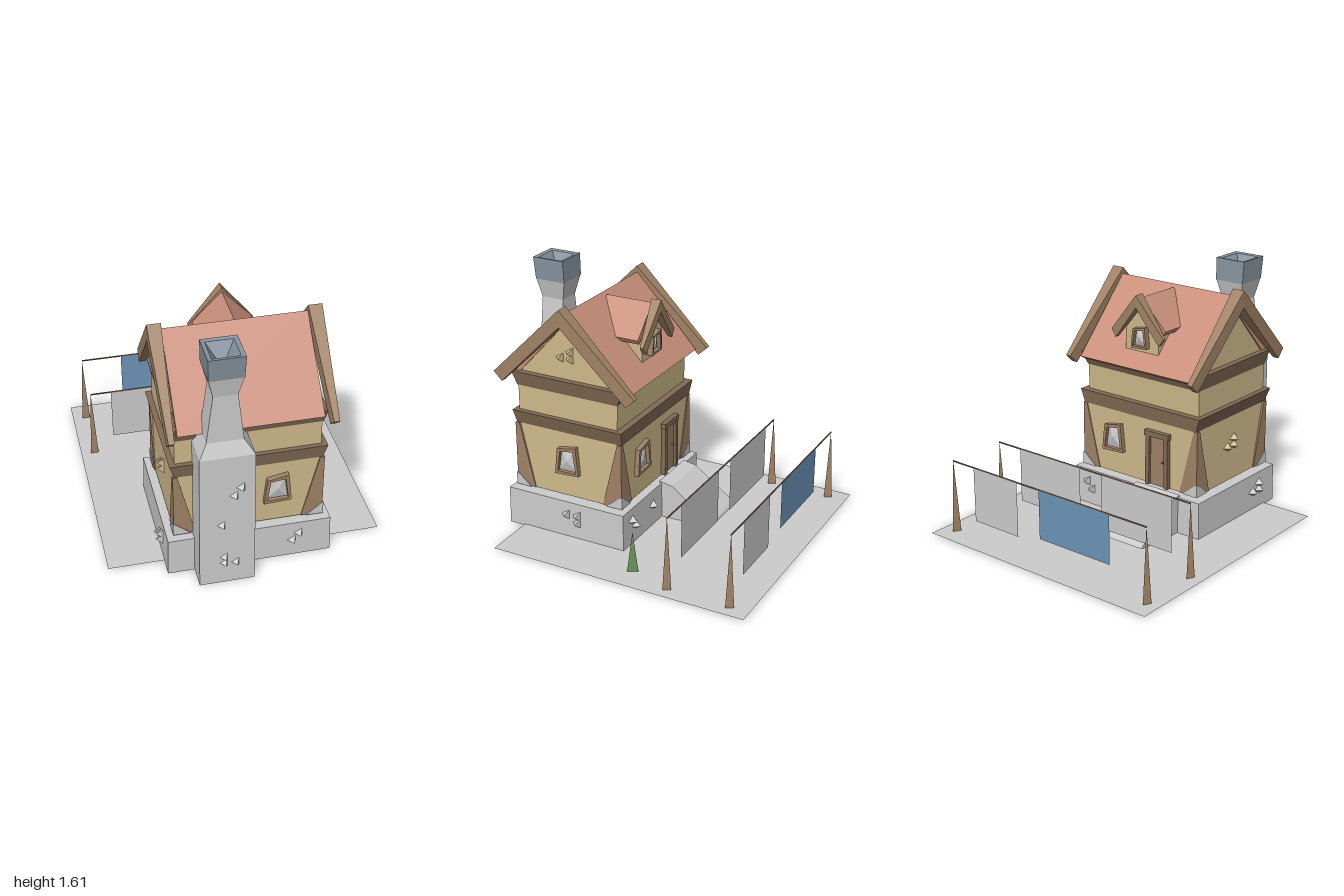
import * as THREE from 'three';

const GREY = 0xcccccc, WALL = 0xcdb98a, WOOD = 0xa08265, DARK = 0x836b55, ROOF = 0xc98f7b;
const CAP = 0x87939e, GREEN = 0x67905a, BLUE = 0x6c94b8;
const mat = (color) => new THREE.MeshStandardMaterial({ color, flatShading: true, side: THREE.DoubleSide });

function add(parent, name, geometry, color, x = 0, y = 0, z = 0) {
  const mesh = new THREE.Mesh(geometry, mat(color));
  mesh.name = name;
  mesh.position.set(x, y, z);
  parent.add(mesh);
  return mesh;
}

// Skin over rectangular sections, each given as [y, x0, x1, z0, z1]
function loft(rings) {
  const pos = [], idx = [];
  for (const [y, x0, x1, z0, z1] of rings) pos.push(x0, y, z1, x1, y, z1, x1, y, z0, x0, y, z0);
  for (let r = 0; r < rings.length - 1; r++)
    for (let i = 0; i < 4; i++) {
      const a = r * 4 + i, b = r * 4 + (i + 1) % 4;
      idx.push(a, b, b + 4, a, b + 4, a + 4);
    }
  const t = (rings.length - 1) * 4;
  idx.push(0, 2, 1, 0, 3, 2, t, t + 1, t + 2, t, t + 2, t + 3);
  const g = new THREE.BufferGeometry();
  g.setAttribute('position', new THREE.Float32BufferAttribute(pos, 3));
  g.setIndex(idx);
  g.computeVertexNormals();
  return g;
}

const shapeOf = (pts) => new THREE.Shape(pts.map(([x, y]) => new THREE.Vector2(x, y)));
const extrude = (pts, depth) => new THREE.ExtrudeGeometry(shapeOf(pts), { depth, bevelEnabled: false });
// Profile drawn in (z, y), running from x0 to x1
const extrudeX = (pts, x0, x1) => extrude(pts, x1 - x0).rotateY(-Math.PI / 2).translate(x1, 0, 0);
// Roof-shaped band: ridge at c, half width w
const chevron = (c, w, ridge, eave, inW, inRidge, inEave) =>
  [[c - w, eave], [c - inW, inEave], [c, inRidge], [c + inW, inEave], [c + w, eave], [c, ridge]];

function bend(g, rule) {
  const p = g.attributes.position, v = new THREE.Vector3();
  for (let i = 0; i < p.count; i++) {
    rule(v.fromBufferAttribute(p, i));
    p.setXYZ(i, v.x, v.y, v.z);
  }
  g.computeVertexNormals();
  return g;
}

// Place a wall fitting built facing +z
function fitting(parent, name, x, y, z, turn) {
  const g = new THREE.Group();
  g.name = name;
  g.position.set(x, y, z);
  g.rotation.y = turn;
  parent.add(g);
  return g;
}

// Crooked window: tapered frame with a faceted pane
function addWindow(parent, name, x, y, z, turn, s = 1) {
  const g = fitting(parent, name, x, y, z, turn);
  const outer = shapeOf([[-0.085, -0.1], [0.085, -0.09], [0.066, 0.1], [-0.066, 0.075]]);
  outer.holes.push(new THREE.Path([[-0.065, -0.078], [-0.045, 0.06], [0.045, 0.072], [0.065, -0.075]]
    .map(([a, b]) => new THREE.Vector2(a, b))));
  add(g, 'windowFrame', new THREE.ExtrudeGeometry(outer, { depth: 0.045, bevelEnabled: false }), WOOD, 0, 0, -0.015);
  const pane = new THREE.ConeGeometry(Math.SQRT1_2, 1, 4).rotateY(Math.PI / 4).rotateX(Math.PI / 2)
    .translate(0, 0, 0.5).scale(0.132, 0.15, 0.02);
  bend(pane, (v) => { v.x *= 1 - 1.8 * (v.y + 0.075); });
  add(g, 'windowPane', pane, GREY, 0, -0.003, 0.004);
  g.scale.set(s, s, 1);
}

// Three-sided stones standing proud of a wall; spots are local [x, y]
function addStones(parent, name, x, z, turn, spots, color) {
  const g = fitting(parent, name, x, 0, z, turn);
  for (const [a, b] of spots) {
    const stone = new THREE.ConeGeometry(0.04, 0.05, 3).rotateX(Math.PI / 2).rotateZ(-Math.PI / 2);
    add(g, 'stone', stone, color, a, b, 0.018);
  }
}

export function createModel() {
  const model = new THREE.Group();
  model.name = 'cottage';

  // Ground, foundation and ramp
  add(model, 'ground', new THREE.PlaneGeometry(1.72, 1.71).rotateX(-Math.PI / 2), GREY, 0, 0.01, -0.145);
  add(model, 'foundation', loft([[0, -0.51, 0.51, -0.02, 0.82], [0.25, -0.505, 0.505, -0.015, 0.82]]), GREY);
  add(model, 'ramp', extrudeX([[0, 0], [-0.38, 0.03], [-0.37, 0.045], [-0.09, 0.245], [0, 0.262]], -0.345, 0), GREY);

  // Walls and timber bands
  add(model, 'lowerWall', loft([[0.27, -0.455, 0.455, 0.025, 0.775], [0.71, -0.445, 0.445, 0.025, 0.77]]), WALL);
  add(model, 'lowerBand', loft([[0.7, -0.45, 0.45, 0.02, 0.775], [0.79, -0.48, 0.475, 0.01, 0.79]]), DARK);
  add(model, 'upperWall', loft([[0.78, -0.445, 0.44, 0.055, 0.76], [0.97, -0.445, 0.44, 0.05, 0.76]]), WALL);
  add(model, 'upperBand', loft([[0.955, -0.445, 0.445, 0.05, 0.765], [1.05, -0.465, 0.465, 0.005, 0.795]]), DARK);
  add(model, 'gable', extrudeX([[0.03, 1.04], [0.77, 1.04], [0.4, 1.45]], -0.425, 0.425), WALL);

  // Tapered corner posts with foot stones
  for (const sx of [-1, 1]) for (const front of [false, true]) {
    const corner = (name, y0, y1, w0, w1, out, color) => {
      const ring = (y, w) => {
        const xo = sx * (0.458 + out), xi = sx * (0.458 - w);
        const z = front ? [0.778 + out - w - out, 0.778 + out] : [0.022 - out, 0.022 + w];
        return [y, Math.min(xo, xi), Math.max(xo, xi), ...z];
      };
      add(model, name, loft([ring(y0, w0), ring(y1, w1)]), color);
    };
    corner('cornerPost', 0.27, 0.7, 0.13, 0.025, 0.003, WOOD);
    corner('cornerStone', 0.268, 0.35, 0.1, 0.003, 0.008, GREY);
  }

  // Main roof with flared barge boards
  add(model, 'roof', extrudeX(chevron(0.395, 0.43, 1.49, 1.03, 0.39, 1.43, 1.005), -0.435, 0.435), ROOF);
  for (const s of [-1, 1]) {
    const board = bend(extrudeX(chevron(0.4, 0.5, 1.53, 1.04, 0.44, 1.42, 0.985), 0, 1), (v) => {
      const t = Math.min(1, Math.abs(v.z - 0.4) / 0.5);
      v.x = s * THREE.MathUtils.lerp(0.435 + 0.03 * t, 0.52 - 0.02 * t, v.x);
    });
    add(model, 'bargeBoard', board, WOOD);
  }

  // Dormer at the back
  const dormer = new THREE.Group();
  dormer.name = 'dormer';
  model.add(dormer);
  add(dormer, 'dormerWall', extrude([[-0.13, 1.02], [0.13, 1.02], [0.13, 1.29], [0, 1.43], [-0.13, 1.29]], 0.28), WALL, 0, 0, 0.052);
  add(dormer, 'dormerRoof', extrude(chevron(0, 0.185, 1.475, 1.285, 0.165, 1.43, 1.255), 0.32), ROOF, 0, 0, 0.05);
  const dormerBoard = bend(extrude(chevron(0, 0.205, 1.5, 1.25, 0.17, 1.42, 1.2), 1), (v) => {
    const t = Math.min(1, Math.abs(v.x) / 0.205);
    v.z = THREE.MathUtils.lerp(-0.012 + 0.015 * t, 0.055 - 0.03 * t, v.z);
  });
  add(dormer, 'dormerBargeBoard', dormerBoard, WOOD);
  addWindow(dormer, 'dormerWindow', 0, 1.22, 0.045, Math.PI, 0.72);

  // Chimney with a hollow cap
  add(model, 'chimney', loft([
    [0, -0.345, -0.005, 0.74, 0.965], [0.94, -0.34, -0.01, 0.74, 0.96], [1.03, -0.29, -0.07, 0.755, 0.92],
    [1.34, -0.25, -0.105, 0.76, 0.915], [1.47, -0.28, -0.075, 0.73, 0.94]]), GREY);
  add(model, 'chimneyCap', loft([
    [1.465, -0.281, -0.074, 0.729, 0.941], [1.61, -0.285, -0.07, 0.735, 0.955],
    [1.605, -0.26, -0.095, 0.76, 0.93], [1.5, -0.19, -0.165, 0.83, 0.855]]), CAP);

  // Windows and door
  addWindow(model, 'frontWindow', 0.173, 0.52, 0.775, 0);
  addWindow(model, 'sideWindow', 0.452, 0.52, 0.4, Math.PI / 2);
  addWindow(model, 'backWindow', 0.2, 0.52, 0.025, Math.PI);
  const door = fitting(model, 'door', -0.16, 0.27, 0.025, Math.PI);
  add(door, 'doorPanel', loft([[0, -0.065, 0.065, -0.01, 0.012], [0.33, -0.06, 0.06, -0.01, 0.012]]), WOOD);
  for (const s of [-1, 1])
    add(door, 'doorJamb', loft([[0, s * 0.075 - 0.015, s * 0.075 + 0.015, -0.01, 0.03],
      [0.35, s * 0.07 - 0.015, s * 0.07 + 0.015, -0.01, 0.03]]), DARK);
  add(door, 'doorLintel', new THREE.BoxGeometry(0.19, 0.035, 0.045), DARK, 0, 0.35, 0.012);
  add(door, 'doorHandle', new THREE.ConeGeometry(0.012, 0.02, 4).rotateX(Math.PI / 2), DARK, 0.04, 0.17, 0.02);

  // Protruding stones
  const R = Math.PI / 2;
  const trio = (x, y) => [[x, y + 0.025], [x - 0.07, y - 0.02], [x, y - 0.02]];
  addStones(model, 'chimneyStones', 0, 0.96, 0,
    [[-0.09, 0.715], [-0.13, 0.66], [-0.205, 0.45], [-0.19, 0.2], [-0.19, 0.155], [-0.12, 0.15]], GREY);
  addStones(model, 'frontStones', 0, 0.82, 0, [[0.31, 0.17], [0.27, 0.12]], GREY);
  addStones(model, 'leftStones', 0.508, 0, -R, [], GREY);
  addStones(model, 'sideFoundationStones', 0.508, 0, R, [[-0.39, 0.165], [-0.31, 0.17], [-0.31, 0.12]], GREY);
  addStones(model, 'otherFoundationStones', -0.508, 0, -R, trio(0.64, 0.15), GREY);
  addStones(model, 'backStones', 0, -0.018, Math.PI, [[-0.4, 0.17], [-0.36, 0.12], [-0.13, 0.15]], GREY);
  addStones(model, 'gableStones', 0.425, 0, R, trio(-0.38, 1.21), WALL);
  addStones(model, 'wallStones', -0.45, 0, -R, trio(0.42, 0.52), WALL);

  // Washing lines: posts, cords and sheets as [x0, x1, bottom, color]
  const lines = [
    [-0.46, [[-0.635, -0.09, 0.125, GREY], [0.08, 0.585, 0.125, GREY]]],
    [-0.87, [[-0.5, 0.045, 0.165, BLUE], [0.225, 0.59, 0.125, GREY]]],
  ];
  for (const [z, sheets] of lines) {
    for (const x of [-0.77, 0.77])
      add(model, 'linePost', new THREE.ConeGeometry(0.031, 0.49, 3).rotateY(Math.PI), WOOD, x, 0.248, z);
    add(model, 'washingLine', new THREE.BoxGeometry(1.54, 0.008, 0.006), DARK, 0, 0.484, z);
    for (const [x0, x1, y0, color] of sheets)
      add(model, 'sheet', new THREE.PlaneGeometry(x1 - x0, 0.484 - y0), color, (x0 + x1) / 2, (0.484 + y0) / 2, z);
  }

  // Small tree
  add(model, 'tree', new THREE.ConeGeometry(0.041, 0.27, 3).rotateY(Math.PI), GREEN, 0.68, 0.138, -0.18);

  return model;
}
